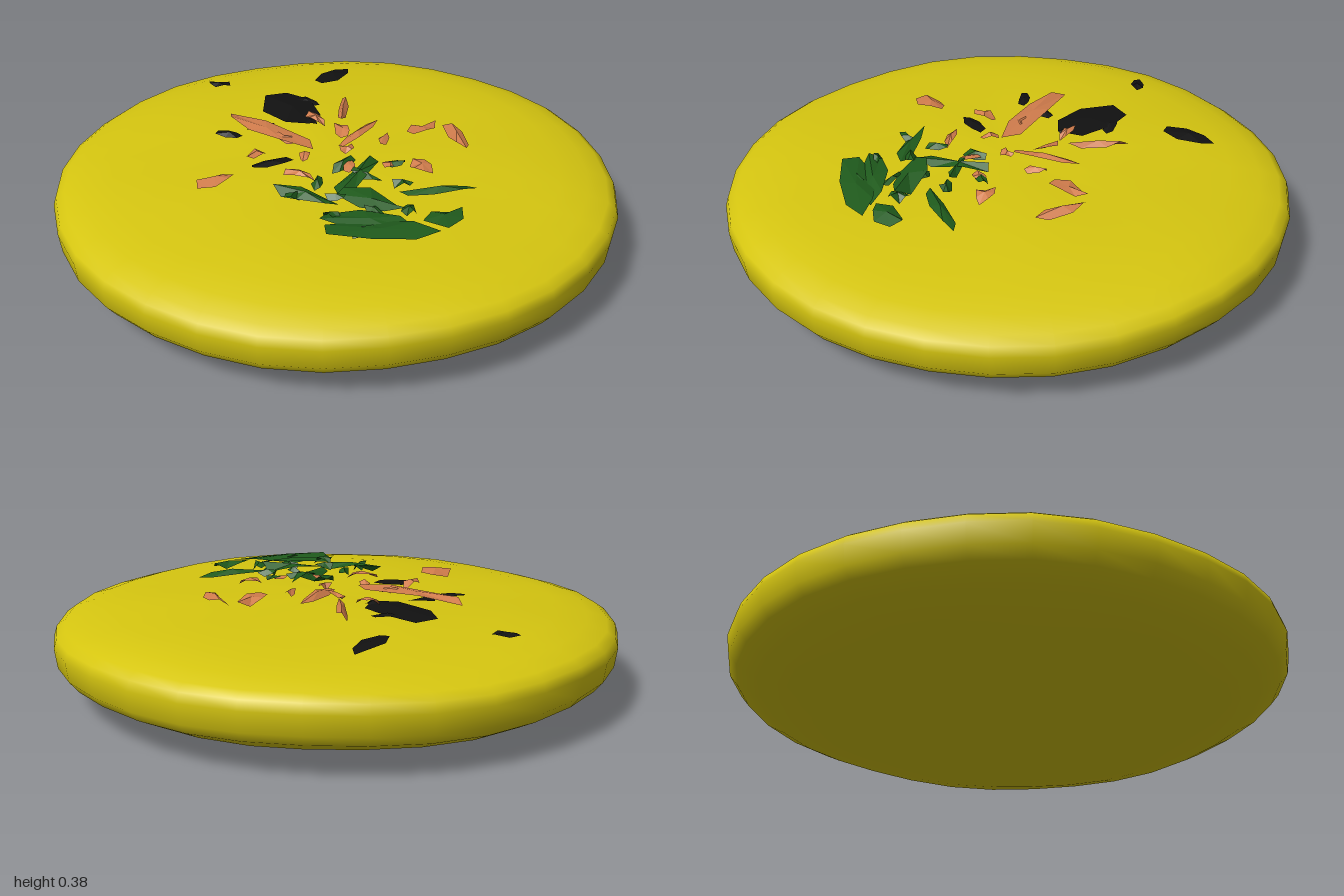
import * as THREE from 'three';
import { mergeVertices } from 'three/addons/utils/BufferGeometryUtils.js';

const SIDES = 32;
const RIM_Y = 0.228;
const RADII = [0, 0.2, 0.42, 0.63, 0.79, 0.89, 0.96, 0.99];

// gentle unevenness of the hand-shaped dough
function bump(x, z) {
  const r = Math.hypot(x, z), a = Math.atan2(z, x);
  return Math.min(1, r * 2) * (0.004 * Math.sin(3 * a + 5 * r) + 0.003 * Math.sin(7 * a - 6 * r)) - 0.012 * z * (1 - r * r / 2);
}

// domed upper side and deeper underside, both meeting at the rim
const topY = (r) => RIM_Y + 0.119 * Math.pow(1 - r ** 3, 0.366);
const bottomY = (r) => RIM_Y - 0.212 * Math.pow(1 - r ** 3, 0.318);
const surfaceY = (x, z) => topY(Math.hypot(x, z)) + bump(x, z);

function makeDough() {
  const profile = [
    ...RADII.map((r) => new THREE.Vector2(r, bottomY(r))),
    new THREE.Vector2(1, RIM_Y),
    ...RADII.map((r) => new THREE.Vector2(r, topY(r))).reverse(),
  ];
  let geo = new THREE.LatheGeometry(profile, SIDES);
  const p = geo.attributes.position;
  for (let i = 0; i < p.count; i++) {
    p.setY(i, Math.max(0, p.getY(i) + bump(p.getX(i), p.getZ(i))));
  }
  geo.deleteAttribute('uv');
  geo.deleteAttribute('normal');
  geo = mergeVertices(geo, 1e-4);
  geo.computeVertexNormals();
  return geo;
}

// repeatable random numbers
function makeRandom(seed) {
  return () => {
    seed = (seed * 16807) % 2147483647;
    return seed / 2147483647;
  };
}

// faceted flake: a ragged, pointed outline lying on the dough, with a raised middle
function makeFlake([x, z, length, width, degrees], lift, random) {
  const angle = THREE.MathUtils.degToRad(degrees), c = Math.cos(angle), s = Math.sin(angle);
  const corners = 7;
  const rim = [];
  for (let i = 0; i < corners; i++) {
    const t = i / corners * Math.PI * 2;
    const ragged = i === 0 ? 1 : 0.8 + 0.4 * random();
    const u = Math.cos(t) * length / 2 * ragged, v = Math.sin(t) * width / 2 * ragged;
    const px = x + u * c - v * s, pz = z + u * s + v * c;
    rim.push([px, surfaceY(px, pz) + 0.01 + lift * random(), pz]);
  }
  const crown = [x, surfaceY(x, z) + 0.015 + lift * 0.8, z];
  const corner = rim.flatMap((a, i) => [...a, ...crown, ...rim[(i + 1) % corners]]);
  const geo = new THREE.BufferGeometry();
  geo.setAttribute('position', new THREE.Float32BufferAttribute(corner, 3));
  geo.computeVertexNormals();
  return geo;
}

// main flakes: x, z, length, width, turn in degrees
const LEAVES = [
  [0.27, 0.5, 0.38, 0.13, -15], [0.22, 0.45, 0.3, 0.09, -5], [0.12, 0.17, 0.3, 0.08, 105], [0.2, 0.33, 0.25, 0.1, 15],
  [-0.02, 0.35, 0.24, 0.06, 10], [0.45, 0.37, 0.15, 0.08, -50], [0.41, 0.2, 0.26, 0.05, -25],
];
const SHAVINGS = [
  [-0.28, -0.08, 0.46, 0.1, 28], [-0.35, 0.31, 0.14, 0.09, -40], [0.4, -0.2, 0.2, 0.06, 60], [0.27, -0.22, 0.15, 0.08, -60],
  [0.05, -0.13, 0.27, 0.05, -70], [-0.05, -0.32, 0.22, 0.035, 80], [0.32, 0.06, 0.09, 0.07, 20],
];
const DARK_FLAKES = [
  [-0.24, -0.29, 0.3, 0.18, 50], [-0.17, -0.65, 0.2, 0.08, -65], [-0.59, -0.475, 0.09, 0.05, 0],
  [-0.2, 0.14, 0.16, 0.06, -25], [-0.41, -0.04, 0.1, 0.05, 0],
];

// main flakes plus small crumbs scattered around a centre
function makeTopping({ name, color, lift, flakes, crumbs, x, z, spread }) {
  const group = new THREE.Group();
  group.name = name + 's';
  const material = new THREE.MeshStandardMaterial({ color, flatShading: true, side: THREE.DoubleSide });
  const random = makeRandom(crumbs * 97 + 5);
  const all = [...flakes];
  for (let i = 0; i < crumbs; i++) {
    const a = i * 2.4, r = spread * Math.sqrt((i + 0.5) / crumbs);
    all.push([x + r * Math.cos(a), z + r * Math.sin(a), 0.06 + 0.06 * random(), 0.03 + 0.02 * random(), 180 * random()]);
  }
  for (const flake of all) {
    const mesh = new THREE.Mesh(makeFlake(flake, lift, random), material);
    mesh.name = name;
    group.add(mesh);
  }
  return group;
}

export function createModel() {
  const model = new THREE.Group();

  const dough = new THREE.Mesh(makeDough(), new THREE.MeshStandardMaterial({ color: 0xd6c610 }));
  dough.name = 'dough';
  model.add(dough);

  model.add(
    makeTopping({ name: 'herbLeaf', color: 0x1f5a1c, lift: 0.035, flakes: LEAVES, crumbs: 12, x: 0.14, z: 0.28, spread: 0.24 }),
    makeTopping({ name: 'carrotShaving', color: 0xd07c4c, lift: 0.03, flakes: SHAVINGS, crumbs: 10, x: -0.02, z: 0, spread: 0.27 }),
    makeTopping({ name: 'darkFlake', color: 0x111111, lift: 0.012, flakes: DARK_FLAKES, crumbs: 3, x: -0.22, z: -0.2, spread: 0.18 }),
  );
  return model;
}
